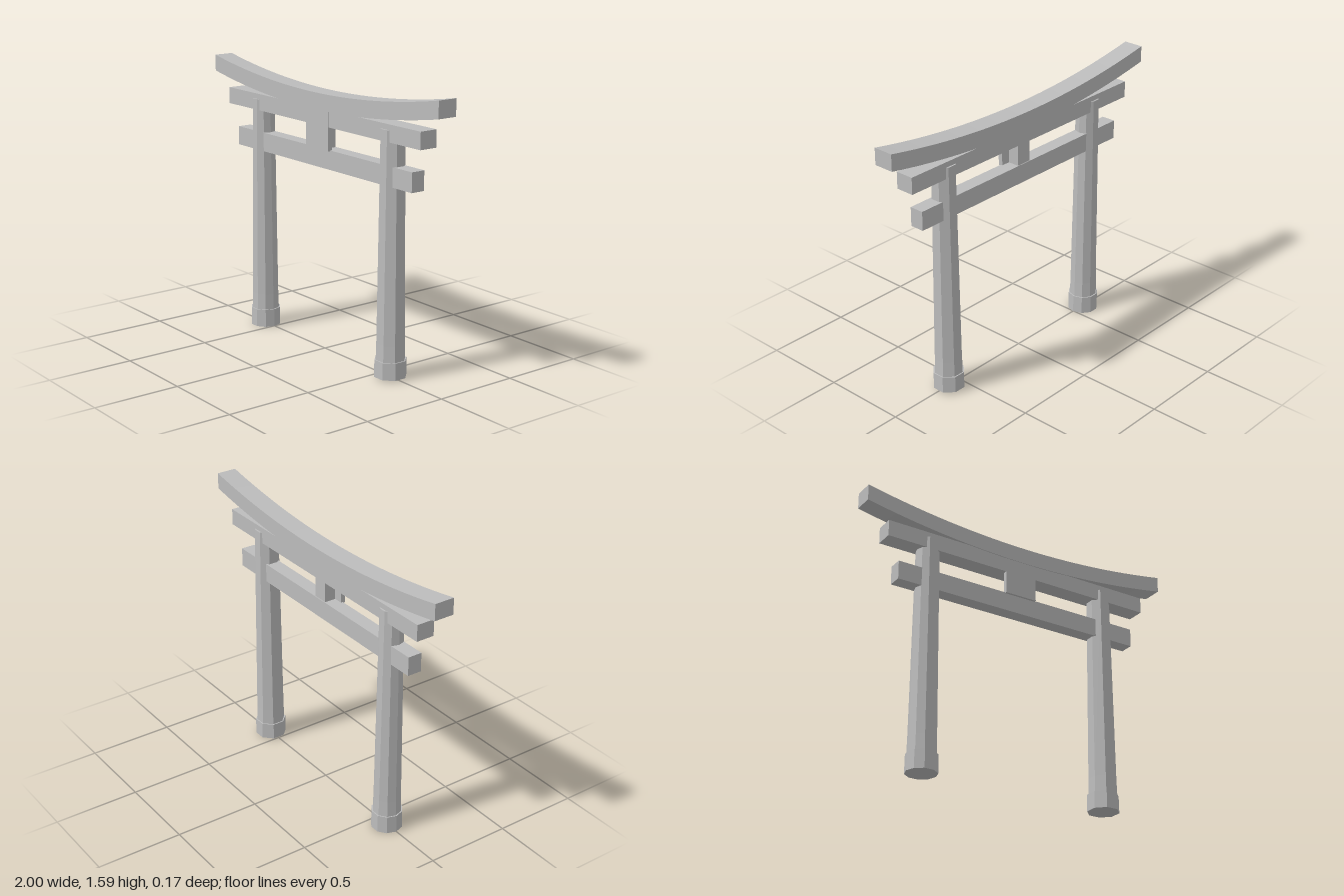
import * as THREE from 'three';

const stone = new THREE.MeshStandardMaterial({ color: 0xbcbcbc });
stone.name = 'grey stone';

function add(parent, name, geometry, x, y, z) {
  const mesh = new THREE.Mesh(geometry, stone);
  mesh.name = name;
  mesh.position.set(x, y, z);
  parent.add(mesh);
  return mesh;
}

// Box given by its half width, vertical range and depth range
function beam(parent, name, halfX, y0, y1, z0, z1) {
  return add(parent, name, new THREE.BoxGeometry(halfX * 2, y1 - y0, z1 - z0),
    0, (y0 + y1) / 2, (z0 + z1) / 2);
}

// Faceted column section with a flat facing front and hard edges
function section(parent, name, sides, r0, r1, y0, y1, open = false) {
  const g = new THREE.CylinderGeometry(r1, r0, y1 - y0, sides, 1, open, Math.PI / sides).toNonIndexed();
  g.computeVertexNormals();
  return add(parent, name, g, 0, (y0 + y1) / 2, 0);
}

function pillar(name, x, sides, r, bottom) {
  const group = new THREE.Group();
  group.name = name;
  group.position.x = x;
  section(group, 'pillarBase', sides, r, r * 0.985, bottom, 0.106);
  section(group, 'pillarFlare', sides, r * 0.91, r * 0.88, 0.106, 0.2, true);
  section(group, 'pillarShaft', sides, r * 0.88, r * 0.74, 0.2, 1.38);
  return group;
}

// Top lintel: a long box bent into an upward curve, with vertical ends
function curvedLintel(parent) {
  const g = new THREE.BoxGeometry(2, 0.095, 0.118, 32, 1, 1);
  const p = g.attributes.position;
  for (let i = 0; i < p.count; i++) p.setY(i, p.getY(i) + 0.095 * p.getX(i) ** 2);
  g.computeVertexNormals();
  add(parent, 'curvedLintel', g, 0, 1.4475, 0);
}

export function createModel() {
  const gate = new THREE.Group();
  gate.name = 'gate';

  // The two pillars differ in number of sides
  gate.add(pillar('rightPillar', -0.587, 10, 0.09, 0));
  gate.add(pillar('leftPillar', 0.583, 8, 0.0925, 0.008));

  // Cross beams
  curvedLintel(gate);
  beam(gate, 'upperBeam', 0.863, 1.315, 1.411, -0.054, 0.054);
  beam(gate, 'lowerBeam', 0.787, 1.075, 1.185, -0.042, 0.042);

  // Centre strut with the plain plaque in front of it
  beam(gate, 'centreStrut', 0.046, 1.18, 1.32, -0.038, 0.035);
  beam(gate, 'plaque', 0.1, 1.18, 1.4, 0.03, 0.056);

  return gate;
}
